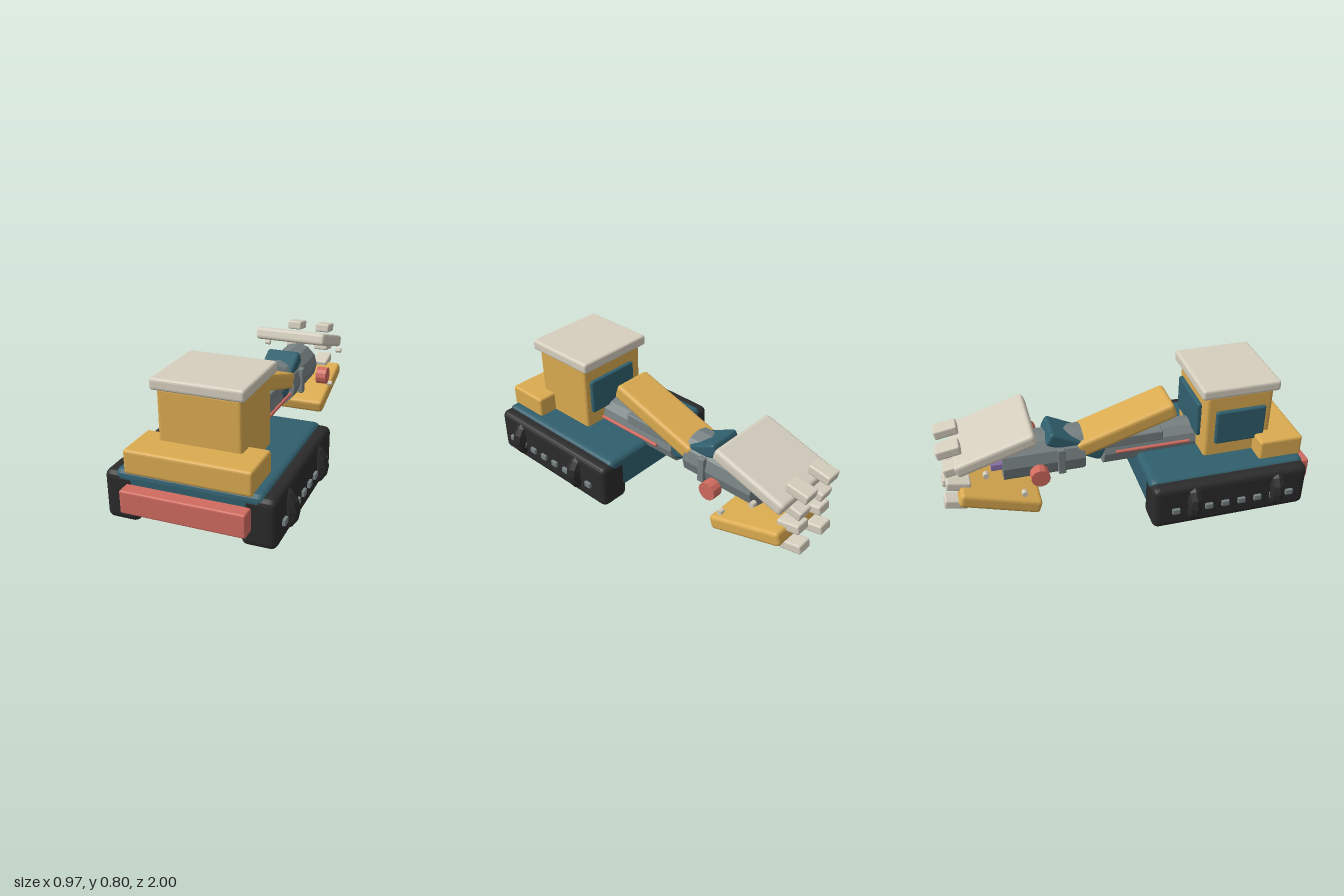
import * as THREE from 'three';
import { RoundedBoxGeometry } from 'three/addons/geometries/RoundedBoxGeometry.js';

const mat = (name, color) =>
  new THREE.MeshStandardMaterial({ name, color, flatShading: true });

export function createModel() {
  const yellow = mat('yellow', 0xdbab50);
  const beige = mat('beige', 0xd6cfbf);
  const teal = mat('teal', 0x305f6d);
  const black = mat('black', 0x2b2b2b);
  const grey = mat('grey', 0x768081);
  const red = mat('red', 0xd06b5f);
  const purple = mat('purple', 0xa98bd0);

  const model = new THREE.Group();
  model.name = 'trackedGrabber';

  const add = (name, geometry, material, x, y, z) => {
    const mesh = new THREE.Mesh(geometry, material);
    mesh.name = name;
    mesh.position.set(x, y, z);
    model.add(mesh);
    return mesh;
  };
  // bevelled block: centre, size, bevel and pitch about x
  const block = (name, material, [x, y, z], [w, h, d], bevel = 0.015, pitch = 0) => {
    const mesh = add(name, new RoundedBoxGeometry(w, h, d, 2, bevel), material, x, y, z);
    mesh.rotation.x = pitch;
    return mesh;
  };
  // cylinder lying along z or x
  const rod = (name, material, axis, [x, y, z], r, length, sides = 12) => {
    const g = new THREE.CylinderGeometry(r, r, length, sides);
    if (axis === 'z') g.rotateX(Math.PI / 2);
    else g.rotateZ(Math.PI / 2);
    return add(name, g, material, x, y, z);
  };

  // Chassis and body
  block('chassis', teal, [0, 0.27, 0.495], [0.75, 0.205, 0.87], 0.035);
  block('bumper', red, [0, 0.245, 0.96], [0.625, 0.12, 0.08], 0.01);
  block('counterweight', yellow, [0, 0.418, 0.81], [0.64, 0.125, 0.245], 0.015);
  block('cab', yellow, [0, 0.55, 0.593], [0.425, 0.39, 0.375], 0.018);
  block('roof', beige, [0, 0.768, 0.59], [0.47, 0.06, 0.435], 0.015);
  block('backWindow', teal, [0.02, 0.56, 0.398], [0.32, 0.2, 0.03], 0.01);
  block('sideWindow', teal, [-0.217, 0.55, 0.6], [0.03, 0.2, 0.28], 0.01);
  block('hangingPlate', grey, [0, 0.061, 0.555], [0.23, 0.122, 0.043], 0.004);

  // Tracks with raised hoops and bolts
  for (const s of [-1, 1]) {
    block('track', black, [s * 0.343, 0.229, 0.495], [0.175, 0.257, 0.872], 0.035);
    for (const z of [0.285, 0.755])
      add('trackHoop', new THREE.TorusGeometry(0.09, 0.04, 8, 16), black, s * 0.355, 0.233, z);
    for (let i = 0; i < 8; i++)
      block('trackBolt', grey, [s * 0.435, 0.21, 0.182 + i * 0.0925], [0.022, 0.032, 0.042], 0.003);
  }

  // Boom with its guide rods
  rod('boom', grey, 'z', [0, 0.395, 0.14], 0.097, 0.52);
  block('boomSlide', grey, [0, 0.465, 0.035], [0.19, 0.06, 0.35], 0.008);
  for (const s of [-1, 1])
    rod('guideRod', red, 'z', [s * 0.153, 0.447, 0.135], 0.009, 0.41, 8);
  block('upperArm', yellow, [0, 0.538, 0.005], [0.23, 0.093, 0.565], 0.022, -0.315);
  block('elbow', teal, [0, 0.475, -0.275], [0.2, 0.08, 0.33], 0.018, 0.47);

  // Wrist
  rod('wrist', grey, 'z', [0, 0.42, -0.45], 0.126, 0.44);
  rod('wristCore', purple, 'z', [0, 0.42, -0.695], 0.069, 0.07);
  for (const s of [-1, 1]) {
    block('wristClamp', grey, [s * 0.123, 0.422, -0.362], [0.03, 0.15, 0.04], 0.005);
    rod('pivotDisc', red, 'x', [s * 0.215, 0.42, -0.493], 0.05, 0.06);
    rod('upperPin', beige, 'x', [s * 0.237, 0.495, -0.767], 0.015, 0.03, 8);
    rod('lowerPin', beige, 'x', [s * 0.237, 0.34, -0.583], 0.015, 0.03, 8);
  }

  // Jaws and fingers
  block('upperJaw', beige, [0, 0.575, -0.705], [0.43, 0.072, 0.435], 0.02, -0.305);
  block('lowerJaw', yellow, [0, 0.265, -0.705], [0.43, 0.08, 0.435], 0.02, 0.305);
  const fingers = [
    [0.585, -0.933, -0.17],
    [0.472, -0.91, -0.2],
    [0.366, -0.91, 0.2],
    [0.252, -0.933, 0.2],
  ];
  for (const s of [-1, 1])
    for (const [y, z, pitch] of fingers)
      block('finger', beige, [s * 0.093, y, z], [0.09, 0.052, 0.126], 0.01, pitch);

  return model;
}
